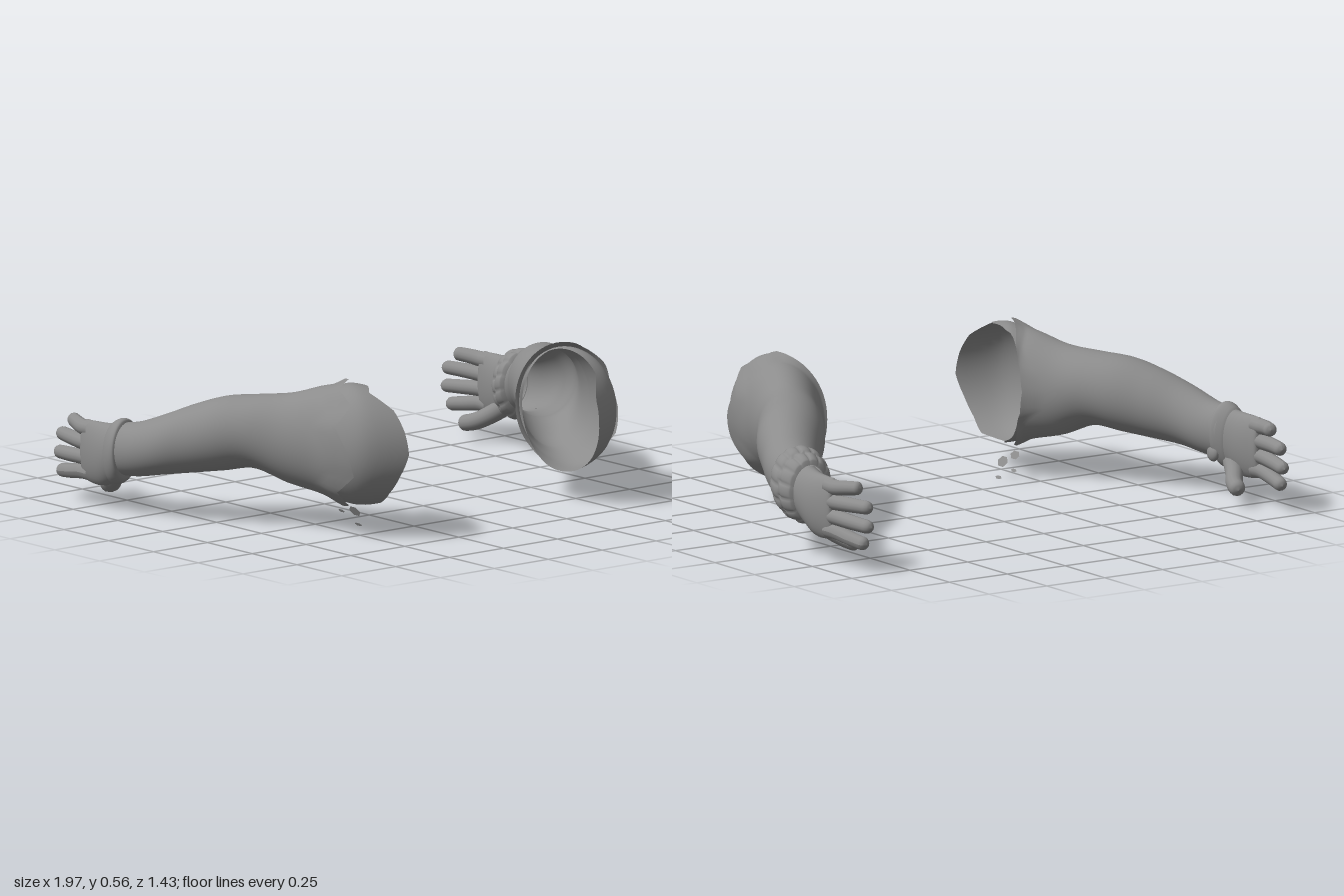
import * as THREE from 'three';

const skin = new THREE.MeshStandardMaterial({ color: 0x8c8c8c, side: THREE.DoubleSide });

// Cross-sections: inner x, inner z, outer x, outer z, low y, high y
const ARM = [
  [0.835, -0.36, 0.967, -0.34, 0.14, 0.33],
  [0.80, -0.28, 0.965, -0.25, 0.145, 0.345],
  [0.755, -0.19, 0.945, -0.13, 0.165, 0.385],
  [0.685, -0.10, 0.90, -0.03, 0.18, 0.43],
  [0.61, -0.01, 0.85, 0.07, 0.195, 0.465],
  [0.545, 0.09, 0.78, 0.17, 0.21, 0.478],
  [0.485, 0.19, 0.71, 0.28, 0.165, 0.492],
  [0.43, 0.27, 0.665, 0.40, 0.14, 0.525],
  [0.41, 0.285, 0.64, 0.52, 0.12, 0.54],
  [0.41, 0.29, 0.58, 0.635, 0.11, 0.55],
  [0.42, 0.30, 0.43, 0.715, 0.11, 0.53],
];
const PALM = [
  [0.92, -0.53, 0.93, -0.53, 0.17, 0.25],
  [0.895, -0.525, 0.948, -0.525, 0.11, 0.312],
  [0.885, -0.49, 0.958, -0.49, 0.092, 0.318],
  [0.868, -0.42, 0.967, -0.42, 0.09, 0.32],
  [0.85, -0.37, 0.967, -0.36, 0.115, 0.325],
  [0.835, -0.33, 0.965, -0.31, 0.145, 0.33],
];

// Smooth blend between neighbouring sections
function sectionAt(list, v) {
  const last = list.length - 1;
  const i = Math.min(Math.max(Math.floor(v), 0), last - 1), t = v - i;
  const p0 = list[Math.max(i - 1, 0)], p1 = list[i], p2 = list[i + 1], p3 = list[Math.min(i + 2, last)];
  return p1.map((b, k) => {
    const a = p0[k], c = p2[k], d = p3[k];
    return b + 0.5 * t * (c - a + t * (2 * a - 5 * b + 4 * c - d + t * (3 * (b - c) + d - a)));
  });
}

// Tube through sections from v0 to end(u), swelled by swell(t, u)
function loft(list, v0, end, rows, cols, swell = () => 1) {
  const pos = [], idx = [];
  for (let i = 0; i <= rows; i++) {
    for (let j = 0; j < cols; j++) {
      const t = i / rows, u = (j / cols) * Math.PI * 2;
      const [ix, iz, ox, oz, lo, hi] = sectionAt(list, v0 + (end(u) - v0) * t);
      const c = Math.cos(u) * swell(t, u) / 2, s = Math.sin(u) * swell(t, u) / 2;
      pos.push((ix + ox) / 2 + (ox - ix) * c, (lo + hi) / 2 + (hi - lo) * s, (iz + oz) / 2 + (oz - iz) * c);
      if (i < rows) {
        const a = i * cols + j, b = i * cols + (j + 1) % cols;
        idx.push(a, b, b + cols, a, b + cols, a + cols);
      }
    }
  }
  const g = new THREE.BufferGeometry();
  g.setAttribute('position', new THREE.Float32BufferAttribute(pos, 3));
  g.setIndex(idx);
  g.computeVertexNormals();
  return g;
}

// Tapered tube with a rounded tip
function digit(points, r) {
  const curve = new THREE.CatmullRomCurve3(points.map(p => new THREE.Vector3(...p)));
  const n = 48, sides = 14, g = new THREE.TubeGeometry(curve, n, r, sides);
  const p = g.attributes.position, q = new THREE.Vector3();
  for (let i = 0; i <= n; i++) {
    const t = i / n, c = curve.getPointAt(t), tip = Math.max(0, (t - 0.88) / 0.12);
    const k = (1.08 - 0.2 * t) * Math.sqrt(Math.max(0, 1 - tip * tip));
    for (let j = 0; j <= sides; j++) {
      const m = i * (sides + 1) + j;
      q.fromBufferAttribute(p, m).sub(c).multiplyScalar(k).add(c);
      p.setXYZ(m, q.x, q.y, q.z);
    }
  }
  g.computeVertexNormals();
  return g;
}

// Flip a part across x = 0 and restore the winding
function mirror(g) {
  g.scale(-1, 1, 1);
  const a = g.index.array;
  for (let i = 0; i < a.length; i += 3) [a[i], a[i + 1]] = [a[i + 1], a[i]];
  g.computeVertexNormals();
  return g;
}

// Torn edge: zigzag read from a short list of offsets around the ring
const jag = (list, u) => {
  const f = (u / (Math.PI * 2)) * list.length, i = Math.floor(f) % list.length;
  return THREE.MathUtils.lerp(list[i], list[(i + 1) % list.length], f - Math.floor(f));
};
const HEM = [8.45, 8.05, 8.6, 8.15, 8.7, 8.3, 8.1, 8.3, 8.0, 8.2, 7.9, 8.5, 8.2, 8.6, 8.1, 8.65];
const CAP = {
  1: [10, 10, 9.5, 9.4, 9.3, 9.2, 9.5, 9.7, 9.8, 9.8, 9.9, 10, 9.8, 9.7, 9.8, 9.9],
  [-1]: [9.85, 9.8, 9.7, 9.3, 9.5, 9.2, 8.0, 7.1, 6.9, 7.1, 8.2, 9.3, 9.0, 9.6, 9.6, 9.7],
};

function buildArm(side) {
  const arm = new THREE.Group();
  arm.name = side > 0 ? 'leftArm' : 'rightArm';
  const add = (name, g) => {
    const m = new THREE.Mesh(side < 0 ? mirror(g) : g, skin);
    m.name = name;
    arm.add(m);
  };

  // Arm with a slightly flared torn hem
  const hemEnd = u => Math.min(jag(HEM, u), jag(CAP[side], u));
  add('arm', loft(ARM, 0, hemEnd, 48, 64, t => 1 + 0.06 * Math.max(0, (t - 0.9) / 0.1)));

  // Open shoulder shell beneath the hem
  add('shoulderShell', loft(ARM, 6.8, u => jag(CAP[side], u), 16, 64, t => 0.95 + 0.05 * t));

  // Hand
  add('palm', loft(PALM, 0, () => 5, 30, 36));
  const fingers = [
    ['littleFinger', 0.286, 0.297, 0.885, -0.642],
    ['ringFinger', 0.232, 0.236, 0.888, -0.71],
    ['middleFinger', 0.178, 0.166, 0.892, -0.72],
    ['indexFinger', 0.126, 0.101, 0.898, -0.698],
  ];
  for (const [name, y0, y1, x1, z1] of fingers) {
    add(name, digit([[0.922, y0, -0.49], [0.922, y0, -0.535], [(0.93 + x1) / 2, (y0 + y1) / 2, (z1 - 0.53) / 2], [x1, y1, z1]], 0.0275));
  }
  add('thumb', digit([[0.905, 0.155, -0.36], [0.878, 0.112, -0.42], [0.842, 0.08, -0.475], [0.82, 0.066, -0.535]], 0.033));

  if (side > 0) {
    // Two rows of rounded lumps around the wrist
    add('bracelet', loft(ARM, 0.15, () => 1.5, 24, 112, (t, u) =>
      0.97 + 0.36 * Math.pow(Math.sin(Math.PI * Math.min(t, 0.9999)), 0.3)
      * (0.75 + 0.25 * Math.sqrt(Math.abs(Math.cos(u * 7 + (t > 0.5 ? 0.8 : 0)))))
      - 0.07 * Math.max(0, 1 - Math.abs(t - 0.5) * 8)));
  } else {
    // Wide wrist cuff with a button
    add('wristCuff', loft(PALM, 3.7, () => 5, 14, 40, t => 0.98 + 0.3 * Math.sqrt(Math.sin(Math.PI * Math.min(t, 0.9999))) * (0.4 + 0.6 * t)));
    const button = new THREE.SphereGeometry(0.03, 16, 10);
    button.scale(0.6, 1, 1);
    button.translate(0.845, 0.165, -0.335);
    add('cuffButton', button);

    // Loose scraps below the torn shoulder: x, y, z, length, height
    const scraps = [
      [0.43, 0.095, 0.31, 0.055, 0.034], [0.425, 0.06, 0.38, 0.06, 0.044],
      [0.41, 0.045, 0.288, 0.034, 0.014], [0.40, 0.007, 0.37, 0.04, 0.014],
    ];
    for (const [x, y, z, w, h] of scraps) {
      const g = new THREE.CircleGeometry(0.5, 6);
      g.scale(w, h, 1).rotateY(Math.PI / 2).rotateZ(-0.5).translate(x, y, z);
      add('scrap', g);
    }
  }
  return arm;
}

export function createModel() {
  const model = new THREE.Group();
  model.name = 'arms';
  model.add(buildArm(1), buildArm(-1));
  return model;
}
